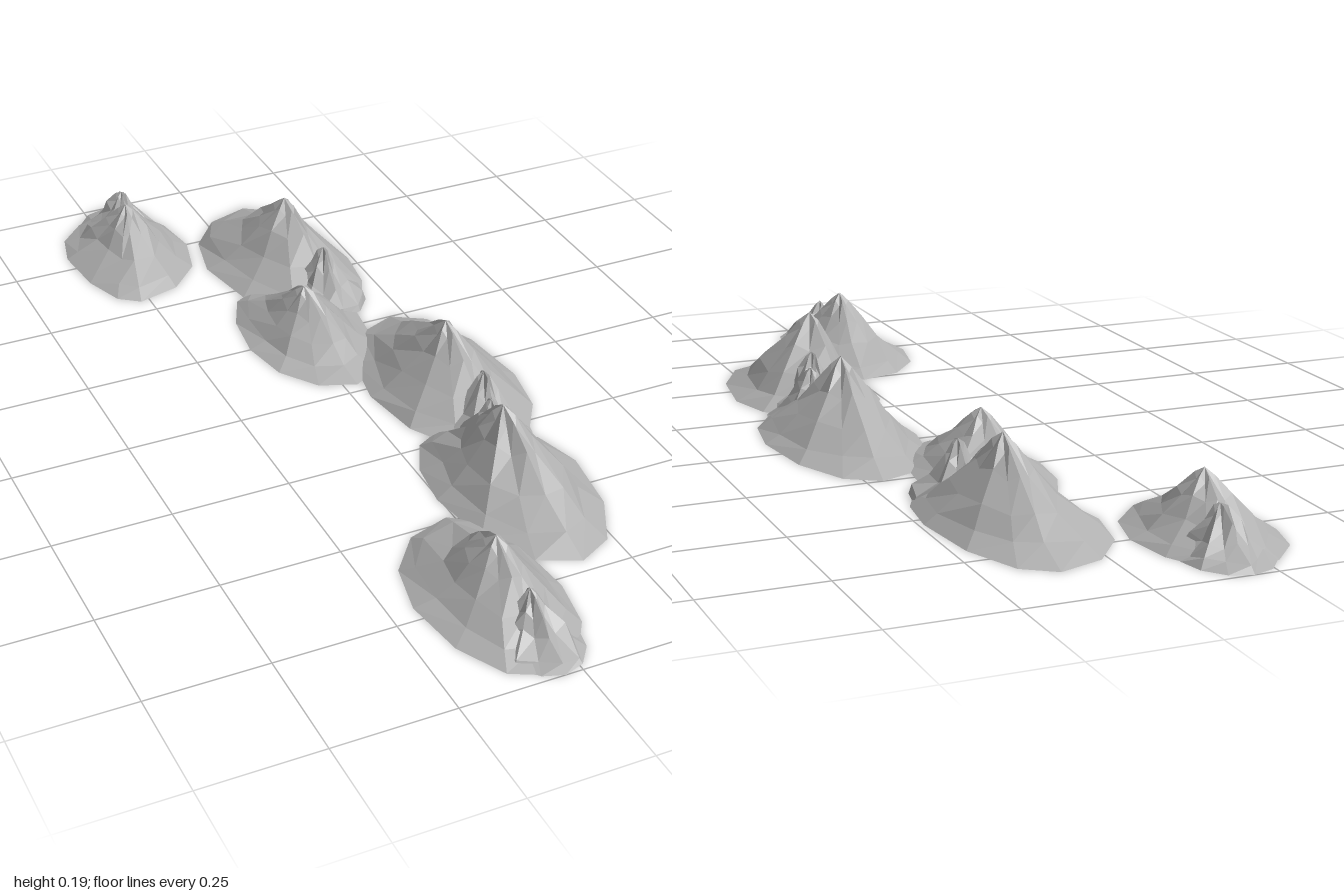
import * as THREE from 'three';

const rock = new THREE.MeshStandardMaterial({ color: 0xb0b0b0, flatShading: true, side: THREE.DoubleSide });
rock.name = 'grey rock';

// slope from summit to foot: [fraction of the way out, fraction of the height]
const SLOPE = [[0.12, 0.86], [0.3, 0.63], [0.54, 0.36], [0.79, 0.13], [1, 0]];
const STEPS = 3; // foot corners per quarter

function seeded(seed) {
  let s = seed;
  return () => (s = (s * 16807) % 2147483647) / 2147483647;
}

// Foot outline: quarter ellipses through the back, left, front and right extremes,
// clockwise seen from above
function footOutline(back, left, front, right) {
  const extremes = [back, left, front, right];
  const points = [];
  extremes.forEach((p, q) => {
    const next = extremes[(q + 1) % 4];
    const [cx, cz] = q % 2 ? [next[0], p[1]] : [p[0], next[1]];
    for (let i = 0; i < STEPS; i++) {
      const a = (i / STEPS) * Math.PI / 2;
      points.push([
        cx + (p[0] - cx) * Math.cos(a) + (next[0] - cx) * Math.sin(a),
        cz + (p[1] - cz) * Math.cos(a) + (next[1] - cz) * Math.sin(a)]);
    }
  });
  return points;
}

// A rocky cone: rings grow from the summit to the foot outline, with ridges and gullies
function peak(name, [px, py, pz], foot, seed, rough) {
  const rand = seeded(seed * 7919 + 13);
  const n = foot.length;
  const pos = [px, py, pz];
  const idx = [];
  SLOPE.forEach(([t, h], r) => {
    const last = r === SLOPE.length - 1;
    foot.forEach(([fx, fz], i) => {
      const ridge = (i % 2 ? -1 : 1) * rough * (1 - t);
      const k = last ? 1 : t * (1 + (rand() - 0.5) * rough);
      const y = last ? 0 : py * (h + ridge * 0.22 + (rand() - 0.5) * rough * 0.2);
      pos.push(px + (fx - px) * k, Math.min(y, py * 0.96), pz + (fz - pz) * k);
      const a = 1 + r * n + i;
      const b = 1 + r * n + (i + 1) % n;
      if (r === 0) idx.push(0, b, a);
      else idx.push(a - n, b - n, b, a - n, b, a);
    });
  });
  const geo = new THREE.BufferGeometry();
  geo.setAttribute('position', new THREE.Float32BufferAttribute(pos, 3));
  geo.setIndex(idx);
  geo.computeVertexNormals();
  const mesh = new THREE.Mesh(geo, rock);
  mesh.name = name;
  return mesh;
}

// Main mountains: summit, then the four extremes (x, z) of the foot
const MOUNTAINS = [
  [[-0.22, 0.13, -0.77], [-0.2, -0.97], [-0.08, -0.75], [-0.27, -0.545], [-0.36, -0.8]],
  [[0.095, 0.176, -0.565], [0.11, -0.86], [0.24, -0.53], [0.13, -0.31], [-0.08, -0.62]],
  [[0.005, 0.131, -0.25], [-0.02, -0.485], [0.155, -0.3], [0.03, -0.025], [-0.125, -0.25]],
  [[0.187, 0.176, 0.075], [0.215, -0.25], [0.355, 0.08], [0.2, 0.32], [0.035, 0.03]],
  [[0.136, 0.188, 0.425], [0.1, 0.21], [0.313, 0.42], [0.16, 0.72], [-0.005, 0.425]],
  [[-0.05, 0.147, 0.75], [-0.015, 0.485], [0.085, 0.77], [-0.06, 0.99], [-0.2, 0.715]],
];

// Minor peaks on their shoulders: summit, foot centre and foot radii
const MINOR = [
  [[-0.19, 0.1, -0.885], [-0.2, -0.89], [0.09, 0.11]],
  [[0.12, 0.122, -0.405], [0.12, -0.4], [0.09, 0.115]],
  [[0.21, 0.12, 0.205], [0.205, 0.235], [0.09, 0.115]],
  [[0.17, 0.126, 0.315], [0.17, 0.31], [0.09, 0.115]],
  [[-0.04, 0.103, 0.865], [-0.035, 0.89], [0.085, 0.11]],
];

export function createModel() {
  const range = new THREE.Group();
  range.name = 'mountainRange';
  MOUNTAINS.forEach(([top, ...extremes], i) =>
    range.add(peak('mountain' + (i + 1), top, footOutline(...extremes), i + 1, 0.2)));
  MINOR.forEach(([top, [x, z], [rx, rz]], i) => {
    const foot = footOutline([x, z - rz], [x + rx, z], [x, z + rz], [x - rx, z]);
    range.add(peak('minorPeak' + (i + 1), top, foot, i + 20, 0.4));
  });
  return range;
}
